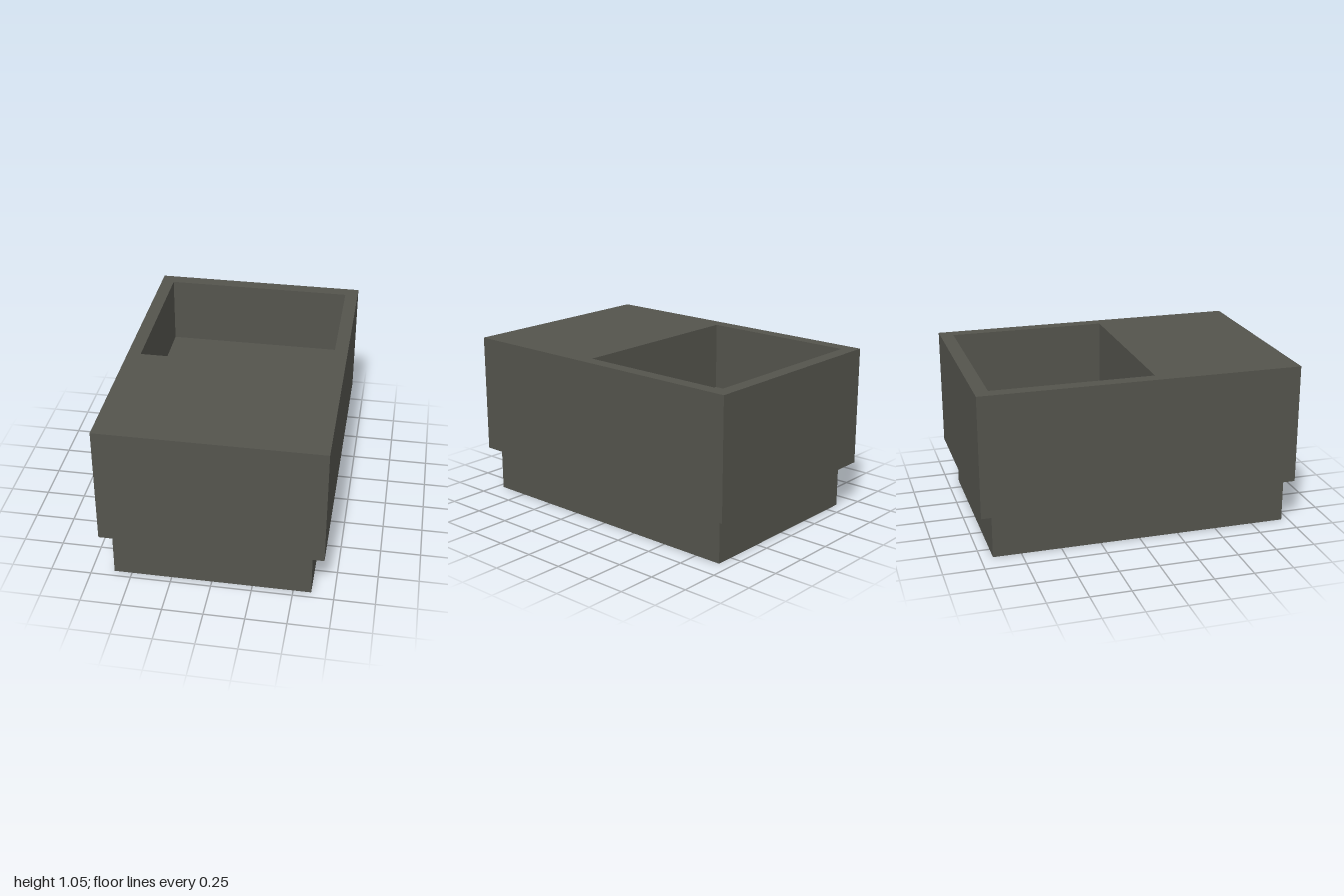
import * as THREE from 'three';

// Rectangle outline in plan; shape y is -z of the model
function rect(PathType, x, zBack, zFront) {
  return new PathType([
    new THREE.Vector2(-x, -zFront),
    new THREE.Vector2(x, -zFront),
    new THREE.Vector2(x, -zBack),
    new THREE.Vector2(-x, -zBack),
  ]);
}

export function createModel() {
  const group = new THREE.Group();
  group.name = 'planterBlock';
  const stone = new THREE.MeshStandardMaterial({ name: 'dark grey stone', color: 0x54544d });

  const add = (name, geometry, x, y, z) => {
    const mesh = new THREE.Mesh(geometry, stone);
    mesh.name = name;
    mesh.position.set(x, y, z);
    group.add(mesh);
  };

  const bottom = 0.293, top = 1.05, floorY = 0.61;
  const pocket = { x: 0.6, back: -0.915, front: 0.09 };

  // Main block with a rectangular opening towards the back
  const outline = rect(THREE.Shape, 0.683, -1, 1);
  outline.holes.push(rect(THREE.Path, pocket.x, pocket.back, pocket.front));
  const body = new THREE.ExtrudeGeometry(outline, { depth: top - bottom, bevelEnabled: false });
  body.rotateX(-Math.PI / 2);
  add('body', body, 0, bottom, 0);

  // Floor of the opening
  const floor = new THREE.PlaneGeometry(pocket.x * 2, pocket.front - pocket.back);
  floor.rotateX(-Math.PI / 2);
  add('pocketFloor', floor, 0, floorY, (pocket.front + pocket.back) / 2);

  // Recessed plinth, set slightly towards the front
  add('plinth', new THREE.BoxGeometry(1.22, bottom, 1.882), 0, bottom / 2, 0.016);

  return group;
}
